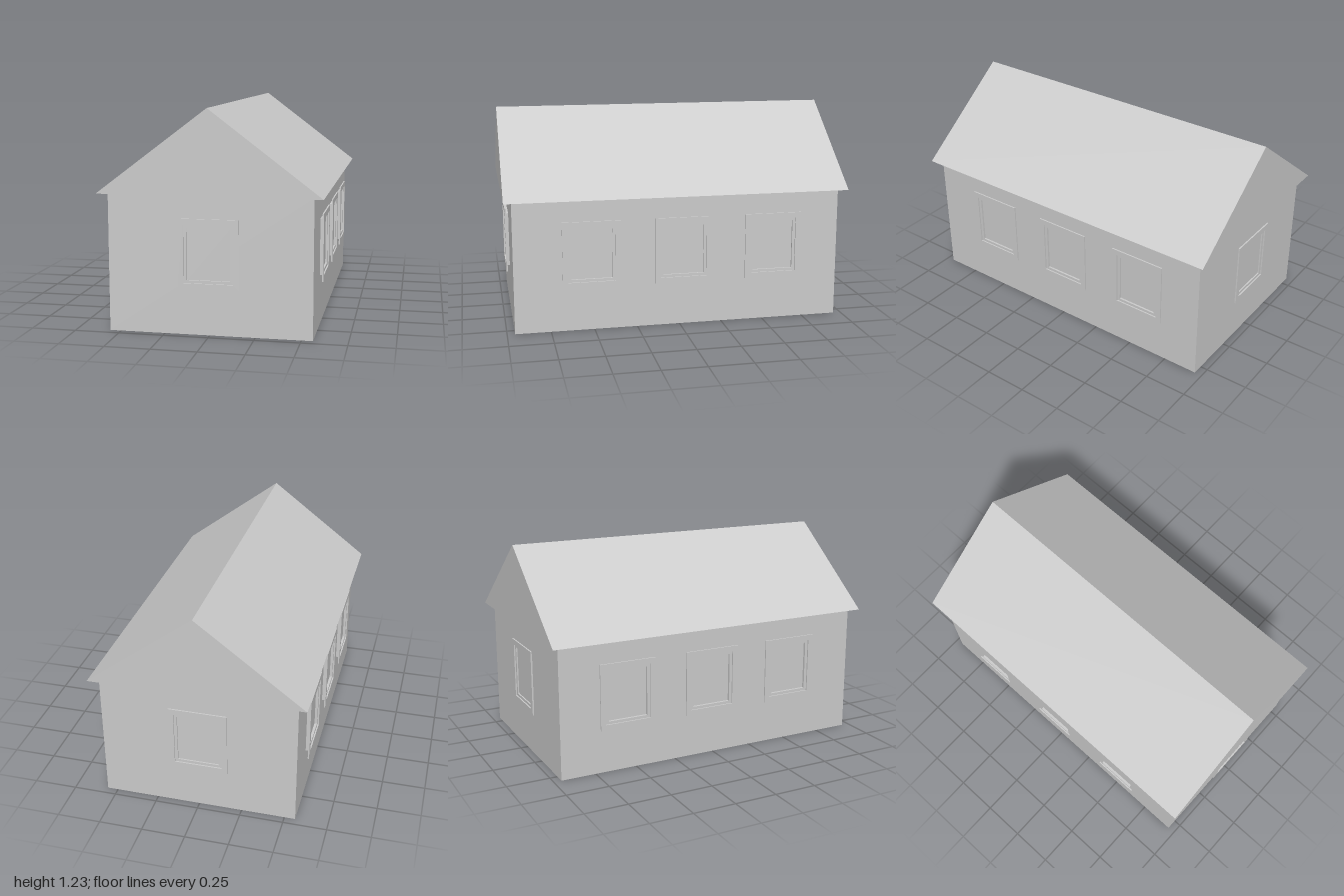
import * as THREE from 'three';

const material = new THREE.MeshStandardMaterial({ color: 0xcccccc, flatShading: true });

function addMesh(parent, name, geometry, z = 0) {
  const mesh = new THREE.Mesh(geometry, material);
  mesh.name = name;
  mesh.position.z = z;
  parent.add(mesh);
  return mesh;
}

function rectangle(PathType, w, h) {
  return new PathType([
    new THREE.Vector2(-w / 2, -h / 2),
    new THREE.Vector2(w / 2, -h / 2),
    new THREE.Vector2(w / 2, h / 2),
    new THREE.Vector2(-w / 2, h / 2),
  ]);
}

// Rectangular ring extruded along +z
function ring(w, h, innerW, innerH, depth) {
  const shape = rectangle(THREE.Shape, w, h);
  shape.holes.push(rectangle(THREE.Path, innerW, innerH));
  return new THREE.ExtrudeGeometry(shape, { depth, bevelEnabled: false });
}

// Window facing +z with its back on the wall at z = 0
function makeWindow(depth) {
  const group = new THREE.Group();
  const plate = 0.008;
  addMesh(group, 'outerFrame', ring(0.336, 0.384, 0.272, 0.32, plate), depth - plate);
  addMesh(group, 'sash', ring(0.272, 0.32, 0.238, 0.288, depth - plate));
  addMesh(group, 'pane', new THREE.BoxGeometry(0.238, 0.288, 0.004), 0.002);
  return group;
}

export function createModel() {
  const model = new THREE.Group();
  model.name = 'house';

  // Walls
  const wallX = 0.562, wallZ = 0.955, eaveY = 0.767;
  const walls = addMesh(model, 'walls', new THREE.BoxGeometry(wallX * 2, eaveY, wallZ * 2));
  walls.position.y = eaveY / 2;

  // Solid gable roof, overhanging all four walls
  const gable = new THREE.Shape([
    new THREE.Vector2(-0.615, eaveY),
    new THREE.Vector2(0.615, eaveY),
    new THREE.Vector2(0, 1.232),
  ]);
  addMesh(model, 'roof', new THREE.ExtrudeGeometry(gable, { depth: 2, bevelEnabled: false }), -1);

  // Windows: three along each side, one in each gable wall
  const placeWindow = (name, x, z, turn, depth) => {
    const win = makeWindow(depth);
    win.name = name;
    win.position.set(x, 0.449, z);
    win.rotation.y = turn;
    model.add(win);
  };
  [0.512, -0.02, -0.555].forEach((z, i) => {
    placeWindow(`leftWindow${i + 1}`, wallX, z, Math.PI / 2, 0.023);
    placeWindow(`rightWindow${i + 1}`, -wallX, z, -Math.PI / 2, 0.027);
  });
  placeWindow('frontWindow', -0.003, wallZ, 0, 0.022);
  placeWindow('backWindow', -0.003, -wallZ, Math.PI, 0.02);

  return model;
}
